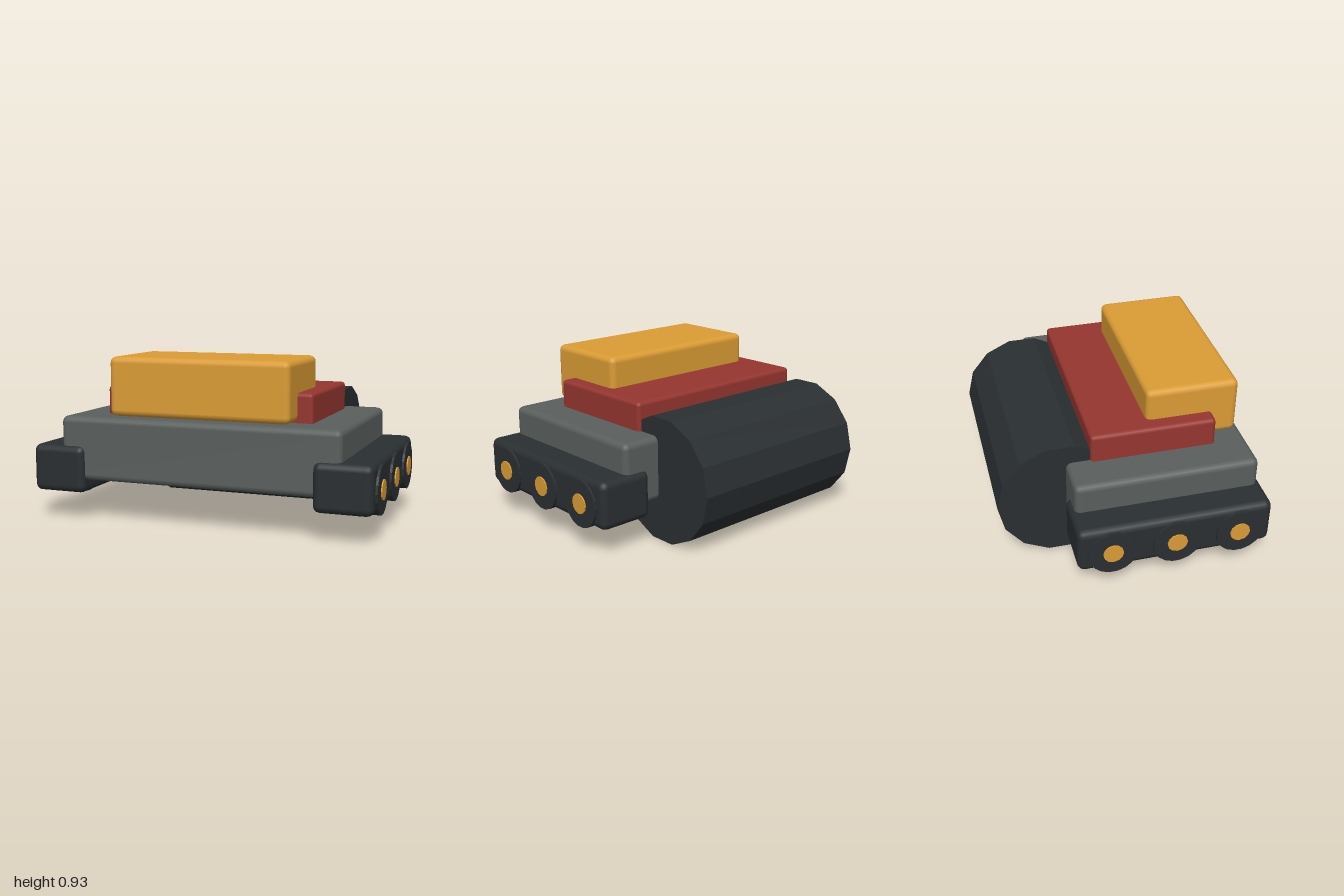
import * as THREE from 'three';
import { RoundedBoxGeometry } from 'three/addons/geometries/RoundedBoxGeometry.js';

const paint = (color, flatShading = false) => new THREE.MeshStandardMaterial({ color, flatShading });

export function createModel() {
  const model = new THREE.Group();
  model.name = 'rollerVehicle';
  const grey = paint(0x5a605e);
  const dark = paint(0x2a2f32);
  const darkFlat = paint(0x2a2f32, true);
  const red = paint(0x963630);
  const yellow = paint(0xdb9c35);
  const yellowFlat = paint(0xdb9c35, true);

  // Bevelled box given by its lower and upper corners
  function box(name, min, max, bevel, material) {
    const size = max.map((v, i) => v - min[i]);
    const mesh = new THREE.Mesh(new RoundedBoxGeometry(...size, 2, bevel), material);
    mesh.position.set(...max.map((v, i) => (v + min[i]) / 2));
    mesh.name = name;
    model.add(mesh);
  }

  // Faceted cylinder lying along x between x0 and x1
  function drum(name, x0, x1, y, z, radius, sides, material) {
    const geometry = new THREE.CylinderGeometry(radius, radius, Math.abs(x1 - x0), sides);
    geometry.rotateZ(Math.PI / 2);
    const mesh = new THREE.Mesh(geometry, material);
    mesh.position.set((x0 + x1) / 2, y, z);
    mesh.name = name;
    model.add(mesh);
  }

  // Stacked hull, deck and cabin
  box('hull', [-0.81, 0.23, -0.335], [0.81, 0.59, 0.69], 0.035, grey);
  box('deck', [-0.605, 0.53, -0.2], [0.605, 0.75, 0.505], 0.022, red);
  box('cabin', [-0.52, 0.597, 0.13], [0.52, 0.927, 0.655], 0.035, yellow);

  // Large rear roller
  drum('rearRoller', -0.585, 0.585, 0.348, -0.363, 0.357, 14, darkFlat);

  // Tracks with three wheels and hubs on each side
  for (const [side, s] of [['left', 1], ['right', -1]]) {
    const inner = s * 0.66, outer = s * 0.98;
    box(`${side}Track`, [Math.min(inner, outer), 0.157, -0.36],
      [Math.max(inner, outer), 0.425, 0.717], 0.04, dark);
    [0.533, 0.18, -0.173].forEach((z, i) => {
      drum(`${side}Wheel${i + 1}`, s * 0.725, s * 0.993, 0.272, z, 0.134, 18, darkFlat);
      drum(`${side}Hub${i + 1}`, s * 0.9, s, 0.272, z, 0.056, 12, yellowFlat);
    });
  }
  return model;
}
